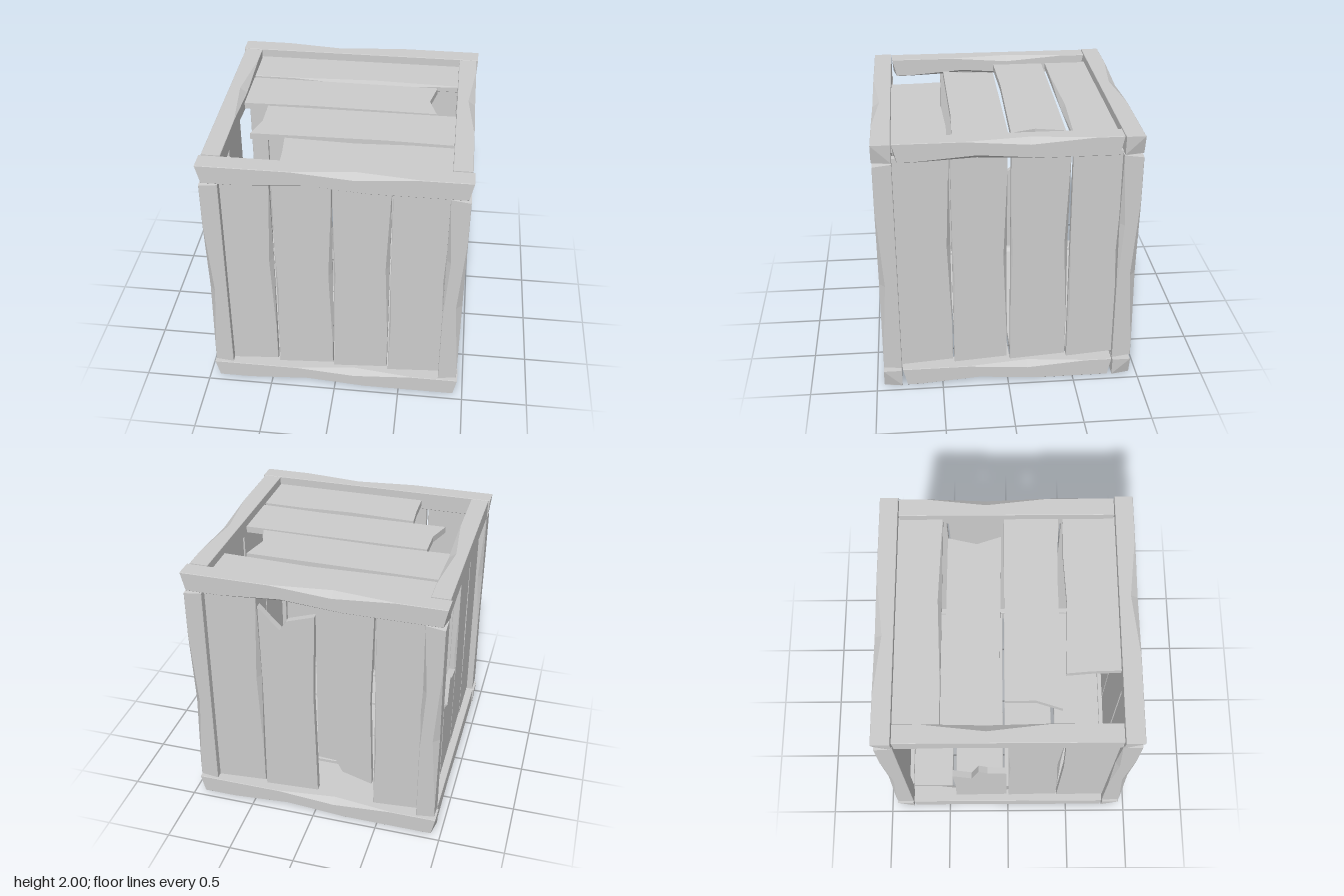
import * as THREE from 'three';

const wood = new THREE.MeshStandardMaterial({ color: 0xcccccc, flatShading: true });
const CORNERS = [[1, -1], [1, 1], [-1, 1], [-1, -1]];

// Hewn bar along y. Each cut planes a wedge off one long edge:
// sx, sz choose the edge, at/span its place along y, dx/dz its depth.
function bar(name, w, len, t, cuts, insetLow, insetHigh) {
  const h = len / 2;
  const marks = [-h, h];
  cuts.forEach(c => marks.push(c.at - c.span, c.at, c.at + c.span));
  const ys = [...new Set(marks.filter(y => y >= -h && y <= h))].sort((a, b) => a - b);
  const rings = ys.map(y => {
    const ring = [];
    CORNERS.forEach(([sx, sz], i) => {
      let dx = 0.003, dz = 0.003;
      for (const c of cuts) {
        if (c.sx !== sx || c.sz !== sz) continue;
        const k = Math.max(0, 1 - Math.abs(y - c.at) / c.span);
        dx += c.dx * k;
        dz += c.dz * k;
      }
      const a = [sx * (w / 2 - dx), sz * t / 2];
      const b = [sx * w / 2, sz * (t / 2 - dz)];
      const pair = i % 2 ? [b, a] : [a, b];
      for (const [x, z] of pair) {
        // ends are sawn askew
        const skew = (0.5 + x / w) * (0.6 + 0.8 * z / t);
        const off = y === -h ? insetLow * skew : y === h ? -insetHigh * skew : 0;
        ring.push([x, y + off, z]);
      }
    });
    return ring;
  });
  const pos = [];
  const tri = (a, b, c) => pos.push(...a, ...b, ...c);
  for (let j = 0; j + 1 < rings.length; j++) {
    for (let i = 0; i < 8; i++) {
      const n = (i + 1) % 8, lo = rings[j], hi = rings[j + 1];
      tri(lo[i], hi[i], hi[n]);
      tri(lo[i], hi[n], lo[n]);
    }
  }
  const last = rings[rings.length - 1];
  for (let i = 1; i < 7; i++) {
    tri(rings[0][0], rings[0][i], rings[0][i + 1]);
    tri(last[0], last[i + 1], last[i]);
  }
  const geo = new THREE.BufferGeometry();
  geo.setAttribute('position', new THREE.Float32BufferAttribute(pos, 3));
  geo.computeVertexNormals();
  const mesh = new THREE.Mesh(geo, wood);
  mesh.name = name;
  return mesh;
}

const THICK = 0.05;

// Whole plank between x0 and x1 of a wall
function plank(x0, x1, y0, y1, i) {
  const cuts = [
    { sx: 1, sz: 1, at: 0.15 - 0.1 * (i % 2), span: 0.65, dx: 0.025, dz: 0.04 },
    { sx: -1, sz: 1, at: -0.35 + 0.2 * (i % 3), span: 0.4, dx: 0.012, dz: 0.012 },
  ];
  const p = bar('plank', x1 - x0, y1 - y0, THICK, cuts, y0 < -0.82 ? 0.03 : 0, 0);
  p.position.set((x0 + x1) / 2, (y0 + y1) / 2, -THICK / 2);
  return p;
}

// Snapped plank cut from an outline
function brokenPlank(points) {
  const shape = new THREE.Shape(points.map(p => new THREE.Vector2(...p)));
  const geo = new THREE.ExtrudeGeometry(shape, { depth: THICK, bevelEnabled: false });
  const mesh = new THREE.Mesh(geo, wood);
  mesh.name = 'brokenPlank';
  mesh.position.z = -THICK;
  return mesh;
}

// Wall of four planks, outside facing local +z; a slot may be missing or broken
function wall(name, slots, y0, y1, special = {}) {
  const g = new THREE.Group();
  g.name = name;
  slots.forEach(([a, b], i) => {
    if (special[i] === 'missing') return;
    g.add(special[i] ? brokenPlank(special[i]) : plank(a, b, y0, y1, i));
  });
  return g;
}

export function createModel() {
  const crate = new THREE.Group();
  crate.name = 'crate';
  const X = new THREE.Vector3(1, 0, 0), Y = new THREE.Vector3(0, 1, 0), Z = new THREE.Vector3(0, 0, 1);
  const basis = (a, b, c) => new THREE.Matrix4().makeBasis(a, b, c);

  // Upright walls
  const LOW = -0.845, HIGH = 0.87, OUT = 0.89;
  const frontSlots = [[-0.82, -0.455], [-0.44, -0.02], [-0.01, 0.40], [0.41, 0.82]];
  const rightSlots = [[-0.82, -0.415], [-0.405, -0.005], [0.02, 0.44], [0.455, 0.82]];
  const backSlots = [[-0.82, -0.42], [-0.41, 0.01], [0.02, 0.44], [0.455, 0.82]];
  const leftSlots = [[-0.82, -0.455], [-0.44, -0.01], [0.005, 0.405], [0.415, 0.82]];
  const walls = [
    wall('frontWall', frontSlots, LOW, HIGH),
    wall('positiveXWall', rightSlots, LOW, HIGH),
    wall('backWall', backSlots, LOW, HIGH, {
      1: [[-0.41, LOW], [0.01, -0.82], [-0.01, 0.1], [0.01, 0.76], [-0.2, 0.69], [-0.25, 0.61],
        [-0.32, 0.68], [-0.41, 0.78], [-0.4, 0.1]],
      2: [[0.02, HIGH], [0.02, -0.48], [0.16, -0.49], [0.21, -0.59], [0.44, -0.66], [0.42, 0.1], [0.44, HIGH]],
    }),
    wall('negativeXWall', leftSlots, LOW, HIGH, {
      0: 'missing',
      1: [[-0.44, LOW], [-0.01, -0.82], [-0.01, -0.1], [-0.16, -0.08], [-0.23, -0.03], [-0.29, -0.25],
        [-0.44, -0.17], [-0.43, -0.5]],
      3: [[0.415, LOW], [0.82, -0.83], [0.82, 0.73], [0.6, 0.73], [0.48, 0.68], [0.415, 0.74], [0.43, 0.1]],
    }),
  ];
  walls.forEach((w, i) => {
    w.rotation.y = i * Math.PI / 2;
    w.position.set(0, 1, 0).addScaledVector(new THREE.Vector3(0, 0, OUT).applyEuler(w.rotation), 1);
    crate.add(w);
  });

  // Lid and floor: planks run along x
  const flatSlots = [[-0.82, -0.475], [-0.445, -0.04], [-0.025, 0.385], [0.415, 0.82]];
  const lid = wall('lid', flatSlots, -0.82, 0.82, {
    1: [[-0.445, -0.82], [-0.04, -0.82], [-0.055, -0.3], [-0.04, 0.66], [-0.22, 0.60], [-0.435, 0.65], [-0.44, 0]],
    2: [[-0.02, 0.82], [-0.02, -0.62], [0.2, -0.62], [0.385, -0.68], [0.37, 0.3], [0.385, 0.82]],
    3: [[0.42, 0.82], [0.415, 0.5], [0.435, 0.1], [0.415, -0.42], [0.6, -0.405], [0.82, -0.40], [0.82, 0.82]],
  });
  lid.applyMatrix4(basis(Z, X, Y));
  lid.position.y = 1.935;
  const floor = wall('floor', flatSlots, -0.82, 0.82);
  floor.applyMatrix4(basis(Z, X.clone().negate(), Y.clone().negate()));
  floor.position.y = 0.065;
  crate.add(lid, floor);

  // Horizontal beams
  const beamCuts = [
    { sx: -1, sz: 1, at: 0.15, span: 0.45, dx: 0.035, dz: 0.05 },
    { sx: 1, sz: 1, at: -0.22, span: 0.45, dx: 0.035, dz: 0.05 },
    { sx: 1, sz: -1, at: 0.3, span: 0.4, dx: 0.02, dz: 0.02 },
  ];
  const beam = (name, len, turn, x, y, z) => {
    const g = new THREE.Group();
    g.name = name;
    const b = bar('beam', 0.14, len, 0.137, beamCuts, 0.035, 0.03);
    b.applyMatrix4(basis(Y.clone().negate(), X, Z));
    g.add(b);
    g.rotation.y = turn;
    g.position.set(x, y, z);
    crate.add(g);
  };
  for (const [level, y] of [['bottom', 0.07], ['top', 1.93]]) {
    beam(level + 'FrontBeam', 1.91, 0, 0, y, 0.876);
    beam(level + 'BackBeam', 1.91, Math.PI, 0, y, -0.876);
    for (const s of [-1, 1]) beam(level + 'SideBeam', 1.6, Math.PI / 2, s * 0.874, y, 0);
  }

  // Corner posts
  const postCuts = [
    { sx: 1, sz: 1, at: -0.12, span: 0.6, dx: 0.042, dz: 0.04 },
    { sx: -1, sz: 1, at: 0.3, span: 0.5, dx: 0.03, dz: 0.03 },
  ];
  for (let i = 0; i < 4; i++) {
    const g = new THREE.Group();
    g.name = 'cornerPost';
    const post = bar('post', 0.14, 1.70, 0.135, postCuts, 0.02, 0.02);
    post.position.set(0.874, 1.005, 0.873);
    g.add(post);
    g.rotation.y = i * Math.PI / 2;
    crate.add(g);
  }
  return crate;
}
